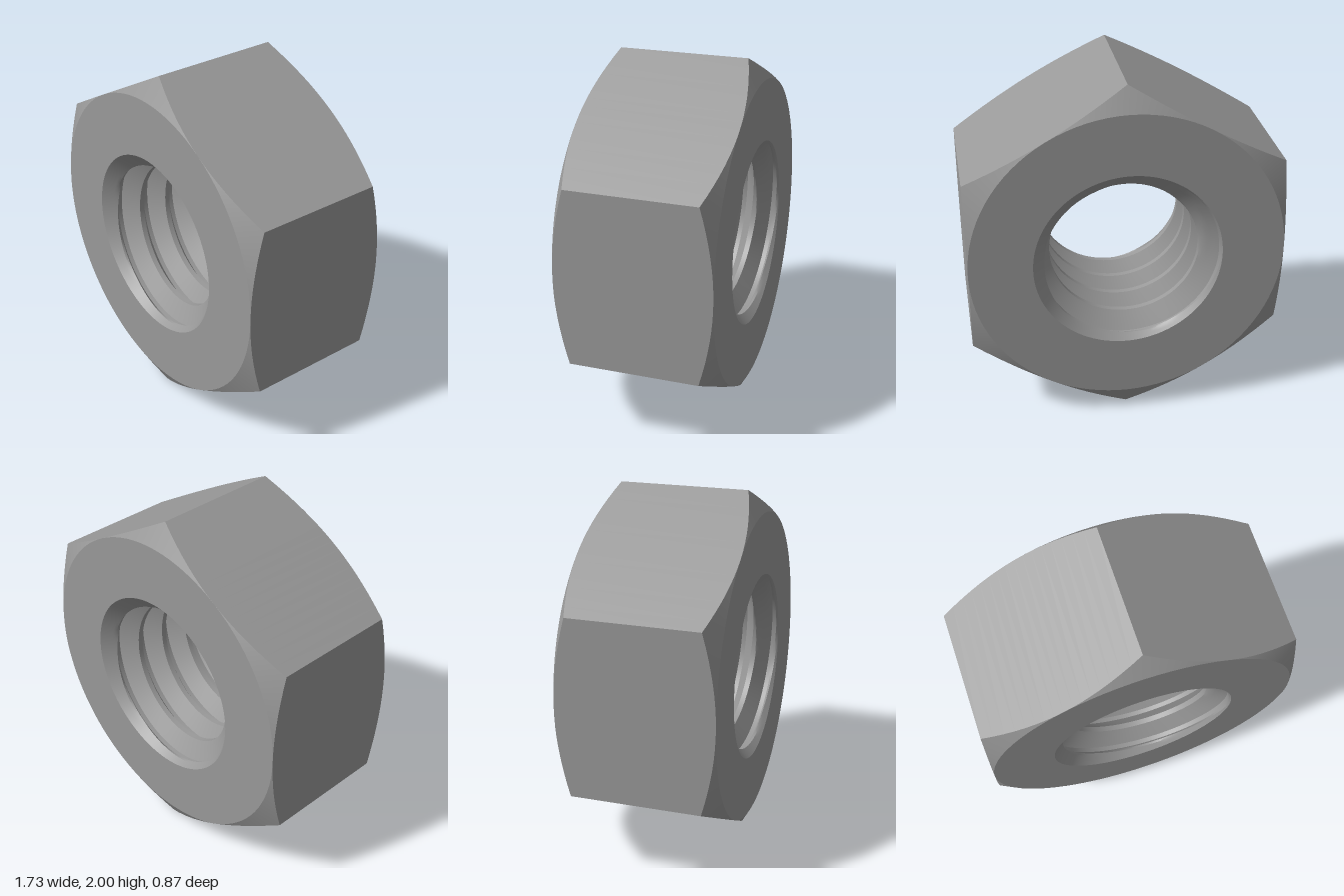
import * as THREE from 'three';
import { toCreasedNormals } from 'three/addons/utils/BufferGeometryUtils.js';

const APOTHEM = 0.866;      // half the width across flats
const HALF = 0.433;         // half thickness
const SLOPE = 0.56;         // outer chamfer, drop per unit of radius
const SINK_R = 0.52;        // countersink mouth
const MINOR = 0.41, MAJOR = 0.51, PITCH = 0.18;
const SEGMENTS = 96, SUB = 5, TURNS = 7;

// Surface swept clockwise from the bottom; section(a, row) returns [radius, z]
function sweep(rows, section) {
  const pos = [], index = [];
  for (let i = 0; i <= SEGMENTS; i++) {
    const a = (i / SEGMENTS) * Math.PI * 2;
    for (let j = 0; j <= rows; j++) {
      const [r, z] = section(a, j);
      pos.push(-Math.sin(a) * r, -Math.cos(a) * r, z);
      if (i < SEGMENTS && j < rows) {
        const p = i * (rows + 1) + j, q = p + rows + 1;
        index.push(p, p + 1, q, p + 1, q + 1, q);
      }
    }
  }
  const g = new THREE.BufferGeometry();
  g.setAttribute('position', new THREE.Float32BufferAttribute(pos, 3));
  g.setIndex(index);
  return toCreasedNormals(g.toNonIndexed(), 0.45);
}

// Hexagon outline with corners at top and bottom
function hexRadius(a) {
  const side = Math.PI / 3;
  const local = a - Math.floor(a / side + 1e-6) * side - side / 2;
  return APOTHEM / Math.cos(local);
}
const shoulder = (a) => HALF - (hexRadius(a) - APOTHEM) * SLOPE;

// Thread profile over one pitch: crest, rear flank, root, front flank
const PROFILE = [[0, MINOR], [0.03, MINOR], [0.092, MAJOR], [0.118, MAJOR], [PITCH, MINOR]];
function threadPoint(a, row) {
  const perTurn = 4 * SUB;
  const turn = Math.floor(row / perTurn) - 1;
  const k = row % perTurn, s = Math.floor(k / SUB), t = (k % SUB) / SUB;
  const [d0, r0] = PROFILE[s], [d1, r1] = PROFILE[s + 1];
  const depth = d0 + (d1 - d0) * t + (turn + a / (Math.PI * 2)) * PITCH;
  const z = THREE.MathUtils.clamp(0.466 - depth, -HALF, HALF);
  const sink = SINK_R - (HALF - Math.abs(z));   // 45 degree countersink
  return [Math.max(r0 + (r1 - r0) * t, sink), z];
}

export function createModel() {
  const nut = new THREE.Group();
  nut.name = 'hexNut';
  nut.position.y = 1;
  const steel = new THREE.MeshStandardMaterial({ color: 0x999999 });
  steel.name = 'steel grey';

  const add = (name, rows, section) => {
    const mesh = new THREE.Mesh(sweep(rows, section), steel);
    mesh.name = name;
    nut.add(mesh);
  };

  // Six flats with curved chamfer borders
  add('flats', 1, (a, j) => [hexRadius(a), j ? shoulder(a) : -shoulder(a)]);

  // Conical corner chamfers and flat washer faces, both ends
  for (const [end, s] of [['front', 1], ['back', -1]]) {
    const inner = (j) => (s > 0 ? j === 1 : j === 0);
    add(end + 'Chamfer', 1, (a, j) => inner(j) ? [APOTHEM, s * HALF] : [hexRadius(a), s * shoulder(a)]);
    add(end + 'Face', 1, (a, j) => [inner(j) ? SINK_R : APOTHEM, s * HALF]);
  }

  // Countersunk bore with right-hand helical thread
  add('threadedBore', TURNS * 4 * SUB, threadPoint);

  const model = new THREE.Group();
  model.name = 'model';
  model.add(nut);
  return model;
}
